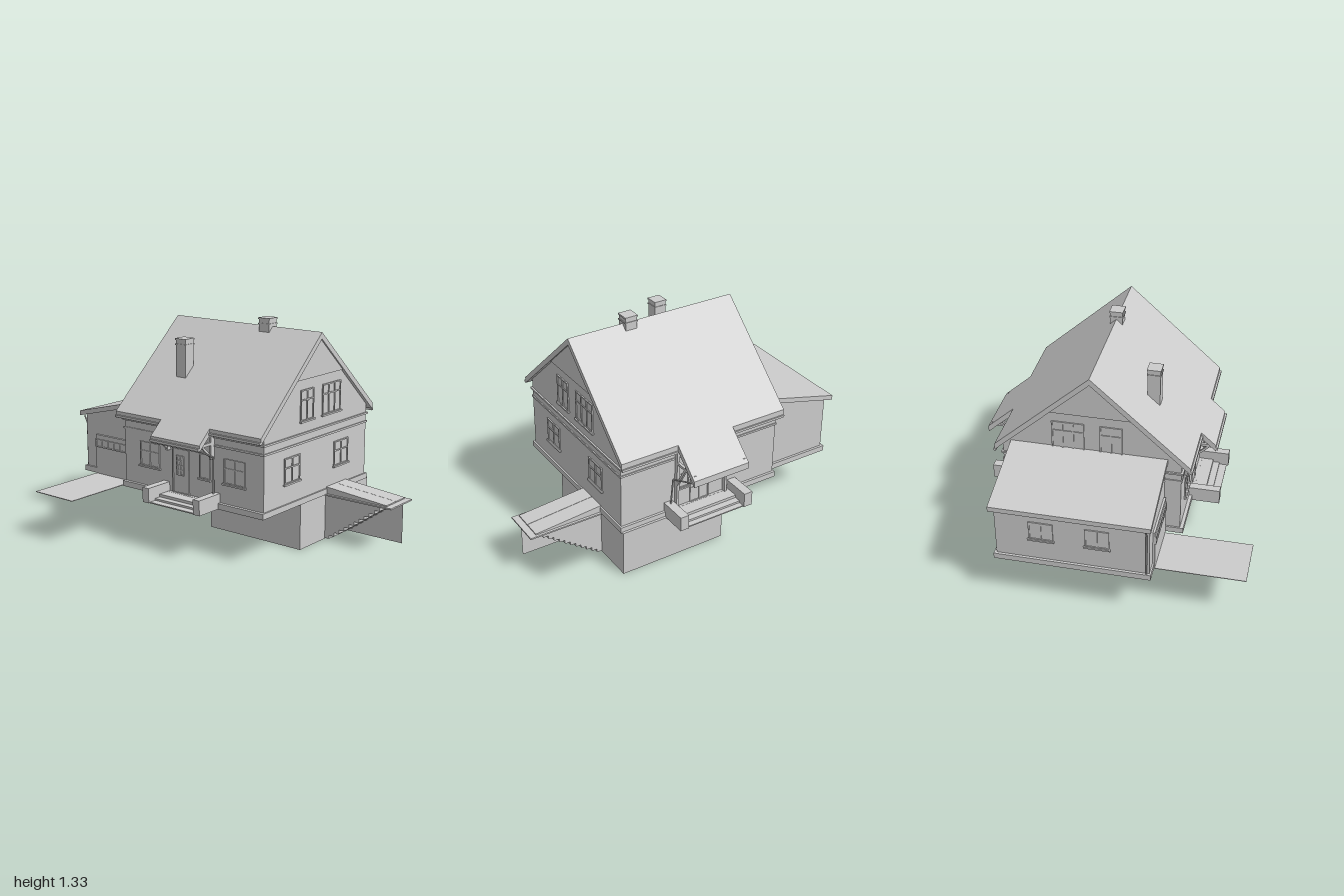
import * as THREE from 'three';

export function createModel() {
  const root = new THREE.Group();
  const mat = new THREE.MeshStandardMaterial({ color: 0xcccccc, flatShading: true });
  const thin = new THREE.MeshStandardMaterial({ color: 0xcccccc, flatShading: true, side: THREE.DoubleSide });

  const add = (name, geo, parent = root, m = mat) => {
    const mesh = new THREE.Mesh(geo, m);
    mesh.name = name;
    parent.add(mesh);
    return mesh;
  };
  // Box given by its limits on each axis
  const box = (name, x0, x1, y0, y1, z0, z1, parent = root) => add(name,
    new THREE.BoxGeometry(x1 - x0, y1 - y0, z1 - z0).translate((x0 + x1) / 2, (y0 + y1) / 2, (z0 + z1) / 2), parent);
  const shapeOf = pts => new THREE.Shape(pts.map(p => new THREE.Vector2(p[0], p[1])));
  // Section of [z, y] points carried along x
  const alongX = (name, pts, x0, x1) => add(name,
    new THREE.ExtrudeGeometry(shapeOf(pts.map(([z, y]) => [-z, y])), { depth: x1 - x0, bevelEnabled: false })
      .rotateY(Math.PI / 2).translate(x0, 0, 0));
  // Section of [x, y] points carried along z
  const alongZ = (name, pts, z0, z1) => add(name,
    new THREE.ExtrudeGeometry(shapeOf(pts), { depth: z1 - z0, bevelEnabled: false }).translate(0, 0, z0));
  // Straight bar between two points
  const bar = (name, a, b, r, sides = 4) => {
    const p = new THREE.Vector3(...a), q = new THREE.Vector3(...b);
    const mesh = add(name, new THREE.CylinderGeometry(r, r, p.distanceTo(q), sides).rotateY(Math.PI / sides));
    mesh.position.copy(p).add(q).multiplyScalar(0.5);
    mesh.quaternion.setFromUnitVectors(new THREE.Vector3(0, 1, 0), q.sub(p).normalize());
  };
  const pipe = (name, pts) => pts.slice(1).forEach((p, i) => bar(name, pts[i], p, 0.005, 8));

  // Framed opening facing +z, turned by angle; columns and rows are mullion positions from 0 to 1
  const opening = (name, w, h, pos, angle, cols = [], rows = [], sill = true) => {
    const g = new THREE.Group();
    g.name = name;
    const f = 0.008, d = 0.007;
    box('pane', -w / 2, w / 2, -h / 2, h / 2, -0.002, 0.002, g);
    for (const s of [0, 1, ...cols]) {
      const x = (s - 0.5) * (w - f);
      box('upright', x - f / 2, x + f / 2, -h / 2, h / 2, 0, d, g);
    }
    for (const s of [0, 1, ...rows]) {
      const y = (s - 0.5) * (h - f);
      box('rail', -w / 2, w / 2, y - f / 2, y + f / 2, 0, d, g);
    }
    if (sill) box('sill', -w / 2 - 0.007, w / 2 + 0.007, -h / 2 - 0.007, -h / 2 + 0.003, 0, 0.014, g);
    g.position.set(...pos);
    g.rotation.y = angle;
    root.add(g);
  };

  // Main house: basement, plinth, walls with gables, string courses
  box('basement', -0.14, 0.54, 0, 0.285, -0.665, 0.06);
  box('plinth', -0.535, 0.545, 0.28, 0.315, -0.65, 0.43);
  alongX('walls', [[0.41, 0.3], [0.41, 0.765], [-0.11, 1.233], [-0.635, 0.76], [-0.635, 0.3]], -0.525, 0.535);
  box('stringCourse', -0.531, 0.541, 0.643, 0.655, -0.641, 0.416);
  box('cornice', -0.535, 0.545, 0.697, 0.708, -0.645, 0.422);
  for (const [a, b] of [[-0.535, -0.52], [0.53, 0.545]])
    alongX('gablePanel', [[0.13, 1.02], [-0.11, 1.235], [-0.35, 1.02]], a, b);

  // Roof: steep main slab, with both slopes drawn lower over the entrances
  const roofY = z => 1.275 - 0.9 * Math.abs(z + 0.11);
  const t = 0.04;
  const roof = (name, front, back, x0, x1) => alongX(name, [
    [front, roofY(front)], [-0.11, 1.275], [back, roofY(back)],
    [back, roofY(back) - t], [-0.11, 1.275 - t], [front, roofY(front) - t]], x0, x1);
  roof('mainRoof', 0.465, -0.68, -0.545, 0.555);
  roof('porchRoof', 0.555, -0.845, -0.18, 0.19);
  for (const [a, b] of [[-0.545, -0.182], [0.192, 0.555]]) {
    box('gutter', a, b, 0.722, 0.736, 0.462, 0.476);
    box('gutter', a, b, 0.714, 0.728, -0.688, -0.674);
  }
  box('gutter', -0.18, 0.19, 0.645, 0.66, 0.553, 0.566);

  // Chimneys
  for (const [x, z, y0, y1] of [[-0.225, 0.195, 0.93, 1.2], [0.165, -0.11, 1.2, 1.325]]) {
    box('chimney', x - 0.037, x + 0.037, y0, y1 - 0.01, z - 0.037, z + 0.037);
    box('chimneyBand', x - 0.041, x + 0.041, y1 - 0.04, y1 - 0.032, z - 0.041, z + 0.041);
    box('chimneyCap', x - 0.041, x + 0.041, y1 - 0.01, y1, z - 0.041, z + 0.041);
  }

  // Windows and doors of the house
  const H = Math.PI / 2;
  for (const x of [-0.32, 0.328]) opening('frontWindow', 0.155, 0.15, [x, 0.51, 0.41], 0, [0.5], [0.62]);
  opening('hallWindow', 0.08, 0.15, [0.108, 0.51, 0.41], 0);
  opening('frontDoor', 0.13, 0.275, [-0.075, 0.448, 0.41], 0, [], [], false);
  opening('doorGlazing', 0.056, 0.12, [-0.077, 0.485, 0.413], 0, [0.5], [0.25, 0.5, 0.75], false);
  for (const z of [0.145, -0.358]) opening('sideWindow', 0.15, 0.155, [0.535, 0.512, z], H, [0.5], [0.62]);
  for (const [x, a] of [[0.535, H], [-0.525, -H]]) {
    opening('gableWindow', 0.13, 0.185, [x, 0.868, 0.005], a, [0.5], [0.68]);
    opening('gableWindow', 0.19, 0.185, [x, 0.868, -0.245], a, [0.33, 0.67], [0.68]);
  }
  opening('backDoor', 0.13, 0.275, [0.01, 0.448, -0.635], Math.PI, [0.5], [0.35, 0.7], false);
  for (const x of [-0.1, 0.12]) opening('backWindow', 0.07, 0.15, [x, 0.51, -0.635], Math.PI, [], [0.62]);

  // Entrance steps between cheek blocks, front (s = 1) and back (s = -1)
  const entrance = (s, wall, end, xa, xb, w) => {
    const zBox = (name, x0, x1, y0, y1, za, zb) => box(name, x0, x1, y0, y1, Math.min(za, zb), Math.max(za, zb));
    for (const x of [xa, xb - w]) zBox('cheekBlock', x, x + w, 0.28, 0.37, wall, end);
    zBox('landing', xa + w, xb - w, 0.28, 0.314, wall, wall + s * 0.09);
    zBox('step', xa + w, xb - w, 0.28, 0.297, wall, wall + s * 0.13);
    zBox('step', xa + w, xb - w, 0.278, 0.285, wall, end - s * 0.01);
  };
  entrance(1, 0.41, 0.595, -0.215, 0.22, 0.048);
  entrance(-1, -0.635, -0.81, -0.245, 0.25, 0.055);

  // Porch timbers
  box('porchBeam', -0.165, 0.175, 0.65, 0.668, 0.515, 0.53);
  box('porchBeam', -0.165, 0.175, 0.617, 0.635, -0.79, -0.775);
  for (const x of [-0.163, 0.172]) {
    box('wallPost', x - 0.008, x + 0.008, 0.57, 0.74, 0.41, 0.44);
    box('tieBeam', x - 0.008, x + 0.008, 0.655, 0.672, 0.41, 0.545);
    bar('brace', [x, 0.58, 0.43], [x, 0.655, 0.51], 0.009);
    box('wallPost', x - 0.008, x + 0.008, 0.31, 0.755, -0.66, -0.635);
    box('tieBeam', x - 0.008, x + 0.008, 0.618, 0.634, -0.825, -0.635);
    bar('brace', [x, 0.48, -0.655], [x, 0.675, -0.765], 0.01);
  }

  // Downpipes
  pipe('downpipe', [[0.19, 0.645, 0.553], [0.192, 0.585, 0.435], [0.192, 0.315, 0.435]]);
  pipe('downpipe', [[0.19, 0.595, -0.83], [0.22, 0.547, -0.68], [0.22, 0.37, -0.66]]);
  pipe('downpipe', [[-0.988, 0.635, 0.3], [-0.965, 0.59, 0.3], [-0.965, 0.31, 0.3]]);

  // Garage with lean-to roof, door, windows and driveway
  box('garagePlinth', -0.97, -0.53, 0.28, 0.315, -0.58, 0.325);
  alongZ('garageWalls', [[-0.955, 0.3], [-0.52, 0.3], [-0.52, 0.765], [-0.955, 0.65]], -0.565, 0.315);
  alongZ('garageRoof', [[-1, 0.64], [-0.525, 0.758], [-0.525, 0.79], [-1, 0.67]], -0.585, 0.33);
  box('garageDoor', -0.865, -0.545, 0.28, 0.535, 0.31, 0.328);
  opening('garageDoorGlazing', 0.315, 0.052, [-0.706, 0.481, 0.328], 0, [1 / 6, 1 / 3, 0.5, 2 / 3, 5 / 6], [], false);
  for (const z of [-0.3, 0.02]) opening('garageWindow', 0.14, 0.12, [-0.955, 0.51, z], -H, [0.5]);
  box('driveway', -0.865, -0.55, 0.276, 0.28, 0.31, 0.845);

  // Cellar stair: folded treads dropping towards the house between two walls
  const n = 11, x0 = 0.54, x1 = 0.95, za = -0.415, zb = -0.2;
  const dx = (x1 - x0 - 0.03) / n, dy = 0.27 / n;
  const zigzag = [[x0, 0.28], [x0, 0.005]];
  for (let i = 0; i < n; i++) {
    const x = x0 + 0.03 + i * dx, y = 0.005 + i * dy;
    zigzag.push([x, y], [x, y + dy]);
    box('stairRiser', x - 0.002, x + 0.002, y, y + dy, za, zb);
    box('stairTread', x - 0.002, x + dx, y + dy - 0.004, y + dy, za, zb);
  }
  zigzag.push([x1, 0.275], [x1, 0.28]);
  for (const [z, s] of [[za, 1], [zb, -1]]) {
    const lining = add('stairWell', new THREE.PlaneGeometry(x1 - x0, 0.28));
    lining.position.set((x0 + x1) / 2, 0.14, z);
    if (s < 0) lining.rotation.y = Math.PI;
    add('stairSide', new THREE.ShapeGeometry(shapeOf(zigzag)), root, thin).position.z = z - s * 0.002;
  }

  // Sloping hatch with two leaves over the stair
  box('hatchRim', 0.54, 1, 0.274, 0.283, -0.43, -0.19);
  for (const [a, b] of [[-0.415, -0.311], [-0.309, -0.205]])
    alongZ('hatchLeaf', [[0.54, 0.28], [0.96, 0.28], [0.96, 0.29], [0.54, 0.326]], a, b);

  return root;
}
